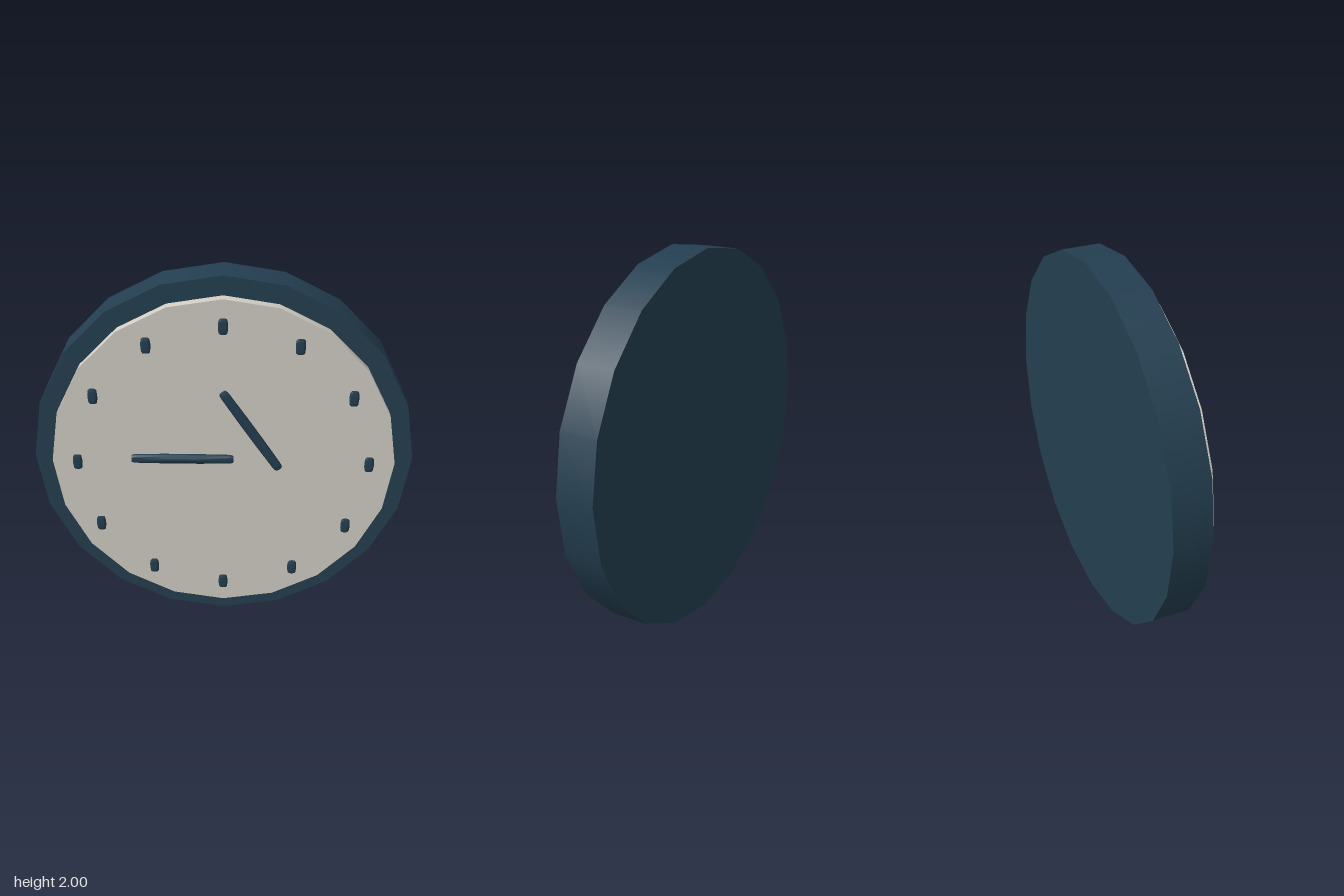
import * as THREE from 'three';
import { toCreasedNormals } from 'three/addons/utils/BufferGeometryUtils.js';

export function createModel() {
  const clock = new THREE.Group();
  clock.name = 'wallClock';
  const navy = new THREE.MeshStandardMaterial({ color: 0x243f51 });
  navy.name = 'navy';
  const cream = new THREE.MeshStandardMaterial({ color: 0xd3cfc6 });
  cream.name = 'cream';

  function add(name, geometry, material, x, y, z, turn = 0) {
    const mesh = new THREE.Mesh(geometry, material);
    mesh.name = name;
    mesh.position.set(x, y, z);
    mesh.rotation.z = turn;
    clock.add(mesh);
  }

  // Twenty-sided disc facing +z, with a corner at the top
  function disc(radius, back, front) {
    return new THREE.CylinderGeometry(radius, radius, front - back, 20)
      .rotateX(Math.PI / 2)
      .translate(0, 0, (front + back) / 2);
  }

  // Flattened round bar along y with softened ends
  function bar(length, width, depth, taper) {
    const h = length / 2, r = width / 2;
    const profile = [
      [0, -h], [r * 0.7, -h], [r * 0.88, -h + taper * 0.4], [r * 0.92, -h + taper], [r, -h * 0.3],
      [r, h * 0.3], [r * 0.92, h - taper], [r * 0.88, h - taper * 0.4], [r * 0.7, h], [0, h],
    ].map(([x, y]) => new THREE.Vector2(x, y));
    const geometry = new THREE.LatheGeometry(profile, 16).scale(1, 1, depth / width);
    return toCreasedNormals(geometry, 0.8);
  }

  // Case and dial
  add('case', disc(1, -0.18, 0.025), navy, 0, 1, 0);
  add('dial', disc(0.9, 0, 0.08), cream, 0, 1, 0);

  // Twelve upright hour markers
  const marker = bar(0.08, 0.05, 0.02, 0.015);
  for (let i = 0; i < 12; i++) {
    const a = i * Math.PI / 6;
    add('hourMarker' + (i + 1), marker, navy, 0.765 * Math.sin(a), 1 + 0.765 * Math.cos(a), 0.095);
  }

  // Two hands, one in front of the other
  const hand = bar(0.525, 0.054, 0.036, 0.03);
  add('hourHand', hand, navy, 0.145, 1.208, 0.129, Math.atan2(0.29, 0.43));
  add('minuteHand', hand, navy, -0.208, 1.06, 0.158, Math.PI / 2);

  return clock;
}
